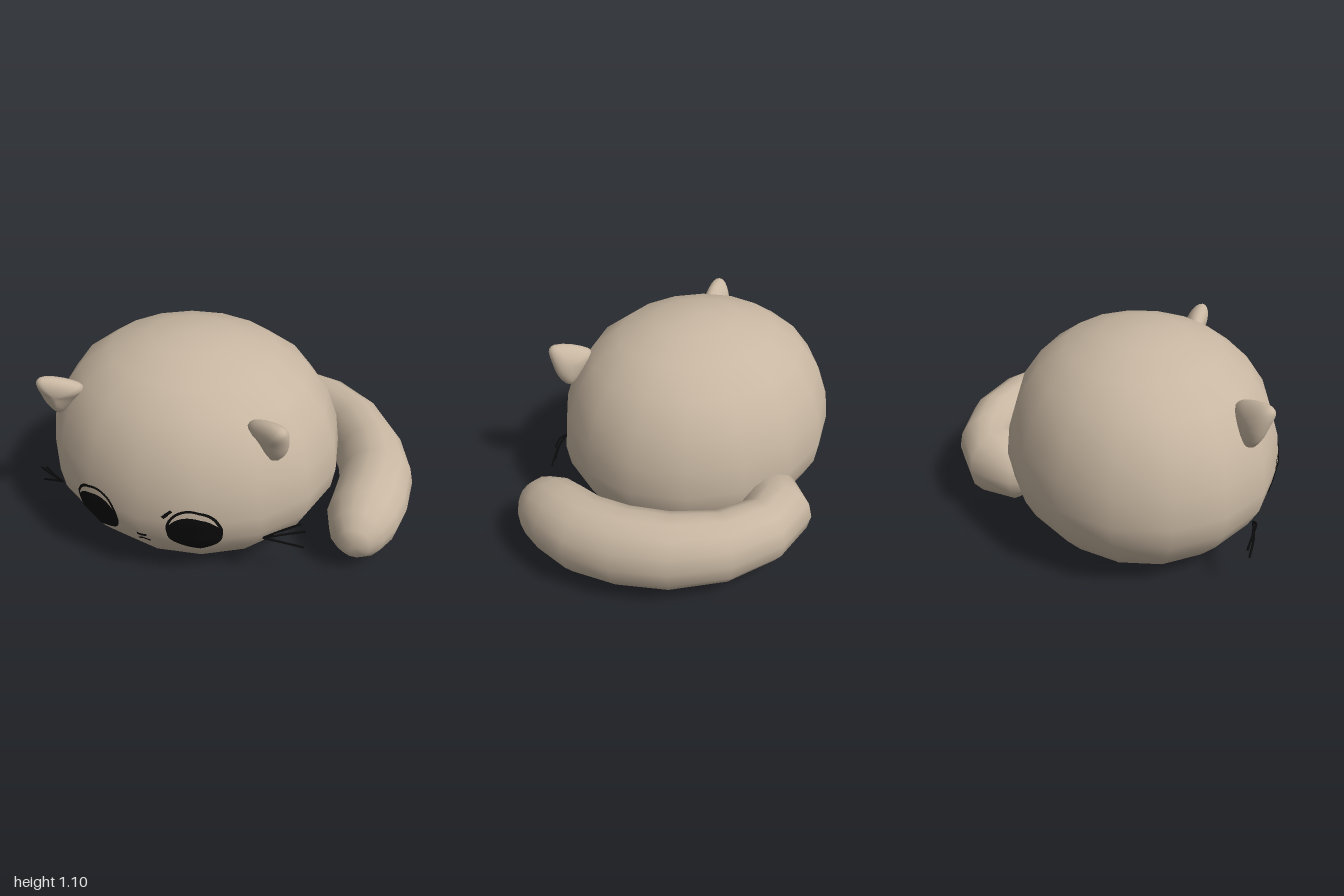
import * as THREE from 'three';
import { mergeVertices } from 'three/addons/utils/BufferGeometryUtils.js';

const V = (x, y, z) => new THREE.Vector3(x, y, z);
const MID = -0.195; // the body's own mirror plane in x

export function createModel() {
  const group = new THREE.Group();
  const fur = new THREE.MeshStandardMaterial({ color: 0xc8b7a2 });
  fur.name = 'tan fur';
  const ink = new THREE.MeshStandardMaterial({ color: 0x0b0b0b, side: THREE.DoubleSide });
  ink.name = 'black ink';

  const add = (name, geometry, material) => {
    const mesh = new THREE.Mesh(geometry, material);
    mesh.name = name;
    group.add(mesh);
    return mesh;
  };
  const smooth = (geometry) => {
    geometry.deleteAttribute('uv');
    geometry.deleteAttribute('normal');
    const merged = mergeVertices(geometry, 1e-4);
    merged.computeVertexNormals();
    return merged;
  };

  // Body: squashed dome with a flat underside
  const profile = [
    [0, 0], [0.24, 0.003], [0.45, 0.02], [0.61, 0.07], [0.72, 0.19], [0.78, 0.3], [0.8, 0.42],
    [0.78, 0.58], [0.72, 0.75], [0.61, 0.895], [0.45, 1.005], [0.24, 1.075], [0, 1.1],
  ].map(([r, y]) => new THREE.Vector2(r, y));
  const bodyGeometry = new THREE.LatheGeometry(profile, 16);
  bodyGeometry.scale(1, 1, 0.906).translate(MID, 0, 0.13);
  const body = add('body', smooth(bodyGeometry), fur);
  body.updateMatrixWorld();

  // Tail: rings of [x, y, z, half width, half height] curling round the side
  const rings = [
    [-0.1, 0.25, -0.38, 0, 0], [-0.1, 0.25, -0.44, 0.13, 0.13], [-0.09, 0.26, -0.54, 0.18, 0.18],
    [-0.03, 0.275, -0.65, 0.19, 0.19], [0.13, 0.28, -0.7, 0.16, 0.185], [0.36, 0.275, -0.64, 0.165, 0.195],
    [0.57, 0.267, -0.48, 0.18, 0.208], [0.71, 0.257, -0.28, 0.19, 0.213], [0.79, 0.247, -0.08, 0.2, 0.213],
    [0.8, 0.237, 0.1, 0.2, 0.205], [0.79, 0.22, 0.24, 0.19, 0.188], [0.79, 0.205, 0.35, 0.145, 0.155],
    [0.795, 0.2, 0.42, 0.085, 0.09], [0.795, 0.2, 0.45, 0, 0],
  ];
  const SIDES = 14;
  const positions = [];
  const index = [];
  rings.forEach(([x, y, z, w, h], i) => {
    const a = rings[Math.max(i - 1, 0)];
    const b = rings[Math.min(i + 1, rings.length - 1)];
    const side = V(b[0] - a[0], 0, b[2] - a[2]).normalize().cross(V(0, 1, 0));
    for (let j = 0; j < SIDES; j++) {
      const t = (j / SIDES) * Math.PI * 2;
      const c = Math.cos(t) * w;
      positions.push(x + side.x * c, y + Math.sin(t) * h, z + side.z * c);
      if (i === rings.length - 1) continue;
      const p = i * SIDES + j;
      const q = i * SIDES + ((j + 1) % SIDES);
      index.push(p, p + SIDES, q, q, p + SIDES, q + SIDES);
    }
  });
  const tail = new THREE.BufferGeometry();
  tail.setAttribute('position', new THREE.Float32BufferAttribute(positions, 3));
  tail.setIndex(index);
  add('tail', smooth(tail), fur);

  // Ears: pillows swelling from a rounded triangular outline
  const earOutline = [
    [0.47, 0.85, 0.575], [0.465, 0.925, 0.605], [0.43, 0.945, 0.6], [0.31, 0.92, 0.545],
    [0.25, 0.875, 0.51], [0.3, 0.81, 0.505], [0.395, 0.71, 0.53], [0.45, 0.765, 0.55],
  ];
  const ear = (name, mirrored) => {
    const points = earOutline.map(([x, y, z]) => V(mirrored ? 2 * MID - x : x, y, z));
    const outline = new THREE.CatmullRomCurve3(points, true);
    const centre = points.reduce((s, p) => s.add(p), V(0, 0, 0)).divideScalar(points.length);
    const normal = points[0].clone().sub(centre).cross(points[3].clone().sub(centre)).normalize();
    const geometry = new THREE.SphereGeometry(1, 20, 12);
    const pos = geometry.attributes.position;
    const uv = geometry.attributes.uv;
    for (let i = 0; i < pos.count; i++) {
      const up = pos.getY(i);
      const rim = Math.sqrt(Math.max(0, 1 - up * up));
      const p = outline.getPoint(((uv.getX(i) % 1) + 1) % 1).sub(centre).multiplyScalar(rim);
      p.add(centre).addScaledVector(normal, up * 0.06);
      pos.setXYZ(i, p.x, p.y, p.z);
    }
    add(name, smooth(geometry), fur);
  };
  ear('leftEar', false);
  ear('rightEar', true);

  // Drops a flat face detail onto the front of the body
  const ray = new THREE.Raycaster();
  const press = (geometry, lift) => {
    const pos = geometry.attributes.position;
    for (let i = 0; i < pos.count; i++) {
      ray.set(V(pos.getX(i), pos.getY(i), 3), V(0, 0, -1));
      const hit = ray.intersectObject(body)[0];
      pos.setZ(i, (hit ? hit.point.z : 0.5) + lift);
    }
    geometry.computeVertexNormals();
    return geometry;
  };
  const stroke = (name, x0, y0, x1, y1, width) => {
    const dx = x1 - x0;
    const dy = y1 - y0;
    const geometry = new THREE.PlaneGeometry(Math.hypot(dx, dy), width, 6, 1);
    geometry.rotateZ(Math.atan2(dy, dx)).translate((x0 + x1) / 2, (y0 + y1) / 2, 0);
    add(name, press(geometry, 0.006), ink);
  };

  // Eyes: filled iris inside a taller thin outline
  for (const [name, s] of [['left', 1], ['right', -1]]) {
    const iris = new THREE.RingGeometry(0, 1, 36, 6);
    iris.scale(0.132, 0.116, 1).translate(MID + s * 0.265, 0.345, 0);
    add(name + 'Iris', press(iris, 0.006), ink);
    const rim = new THREE.RingGeometry(0.9, 1, 48, 2);
    rim.scale(0.134, 0.137, 1).translate(MID + s * 0.267, 0.37, 0);
    add(name + 'EyeOutline', press(rim, 0.008), ink);
  }

  // Nose, mouth and the single brow mark
  stroke('nose', -0.22, 0.305, -0.168, 0.305, 0.016);
  stroke('mouthRight', -0.225, 0.252, -0.19, 0.278, 0.015);
  stroke('mouthLeft', -0.197, 0.278, -0.16, 0.252, 0.015);
  stroke('browLower', -0.075, 0.445, -0.052, 0.468, 0.018);
  stroke('browUpper', -0.058, 0.464, -0.03, 0.49, 0.016);

  // Whiskers: thin bowed strands fanning from each cheek
  const whiskers = (name, root, tips) => tips.forEach((tip, i) => {
    const middle = root.clone().lerp(tip, 0.5).add(V(0, 0.012, 0.012));
    const curve = new THREE.CatmullRomCurve3([root, middle, tip]);
    add(name + (i + 1), new THREE.TubeGeometry(curve, 8, 0.006, 5), ink);
  });
  whiskers('leftWhisker', V(0.38, 0.3, 0.645),
    [V(0.54, 0.345, 0.53), V(0.56, 0.285, 0.51), V(0.565, 0.215, 0.55)]);
  whiskers('rightWhisker', V(-0.8, 0.28, 0.585),
    [V(-0.92, 0.32, 0.55), V(-0.99, 0.265, 0.5), V(-0.97, 0.2, 0.52)]);

  return group;
}
